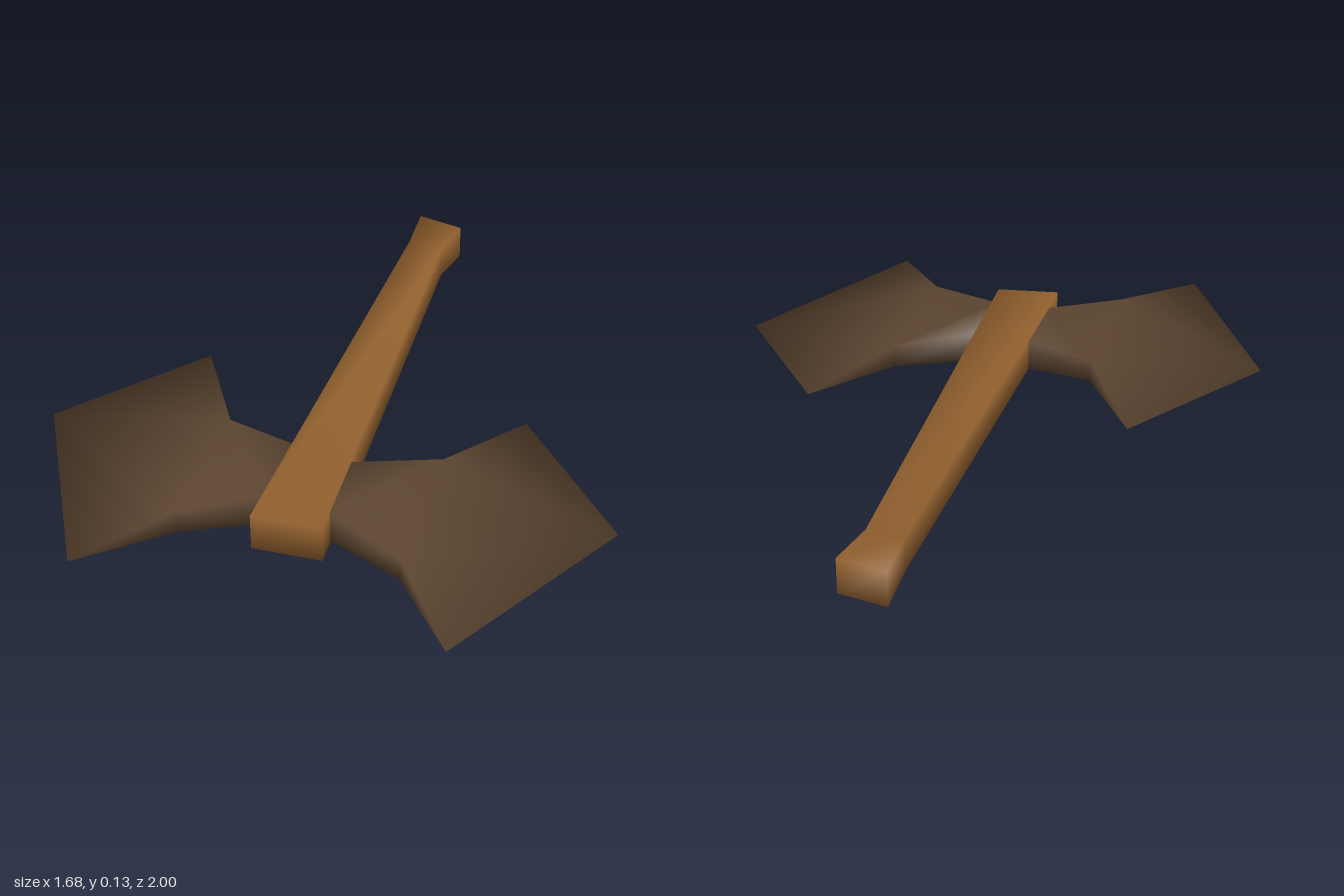
import * as THREE from 'three';

// Indexed geometry with shared vertices, so the shading is smooth
function meshFrom(points, faces, material, name, flip = false) {
  const geometry = new THREE.BufferGeometry();
  geometry.setAttribute('position', new THREE.Float32BufferAttribute(points.flat(), 3));
  geometry.setIndex(faces.flatMap(([a, b, c]) => (flip ? [a, c, b] : [a, b, c])));
  geometry.computeVertexNormals();
  const mesh = new THREE.Mesh(geometry, material);
  mesh.name = name;
  return mesh;
}

// Side walls joining four-cornered sections that lie one after another
function walls(sectionCount) {
  const faces = [];
  for (let s = 0; s < sectionCount - 1; s++) {
    for (let i = 0; i < 4; i++) {
      const a = s * 4 + i, b = s * 4 + (i + 1) % 4;
      faces.push([a, a + 4, b], [b, a + 4, b + 4]);
    }
  }
  return faces;
}

const SLOPE = -0.048; // the whole axe leans slightly to one side

// Square handle: [left x, left z, right x, right z, centre y, half height]
function createHandle(material) {
  const sections = [
    [-0.10, -1.00, 0.05, -0.97, 0.079, 0.055],
    [-0.092, -0.83, 0.022, -0.82, 0.078, 0.052],
    [-0.115, 0.72, 0.085, 0.706, 0.066, 0.056],
  ];
  const points = sections.flatMap(([x0, z0, x1, z1, y, h]) => [
    [x0, y + h + SLOPE * x0, z0], [x1, y + h + SLOPE * x1, z1],
    [x1, y - h + SLOPE * x1, z1], [x0, y - h + SLOPE * x0, z0],
  ]);
  const end = (sections.length - 1) * 4;
  const caps = [[0, 1, 2], [0, 2, 3], [end, end + 2, end + 1], [end, end + 3, end + 2]];
  return meshFrom(points, [...walls(sections.length), ...caps], material, 'handle');
}

// Blade: thick root, wider middle, then two horns and a tip on the sharp edge
function createBlade(side, shape, material, name) {
  const at = (x, z, h) => [side * x, 0.065 + SLOPE * side * x + h, z];
  const points = shape.sections.flatMap(([x, back, front, h]) => [
    at(x, back, h), at(x, front, h), at(x, front, -h), at(x, back, -h),
  ]);
  for (const [x, z] of shape.edge) points.push(at(x, z, 0));
  const neck = walls(2).map(([a, b, c]) => [a, c, b]);
  const cheeks = [
    [4, 9, 8], [4, 5, 9], [5, 10, 9],   // upper
    [7, 8, 9], [7, 9, 6], [6, 9, 10],   // lower
    [4, 8, 7], [5, 6, 10],              // back and front walls
  ];
  return meshFrom(points, [...neck, ...cheeks], material, name, side < 0);
}

export function createModel() {
  const wood = new THREE.MeshStandardMaterial({ color: 0x94622f });
  wood.name = 'wood brown';
  const iron = new THREE.MeshStandardMaterial({ color: 0x5c4530 });
  iron.name = 'dark iron';

  const axe = new THREE.Group();
  axe.name = 'doubleAxe';
  axe.add(createHandle(wood));
  axe.add(createBlade(1, {
    sections: [[0.07, 0.39, 0.62, 0.05], [0.31, 0.27, 0.73, 0.036]],
    edge: [[0.49, -0.03], [0.84, 0.39], [0.505, 0.995]],
  }, iron, 'leftBlade'));
  axe.add(createBlade(-1, {
    sections: [[0.09, 0.37, 0.60, 0.05], [0.325, 0.30, 0.75, 0.036]],
    edge: [[0.515, -0.04], [0.84, 0.405], [0.53, 0.995]],
  }, iron, 'rightBlade'));
  return axe;
}
